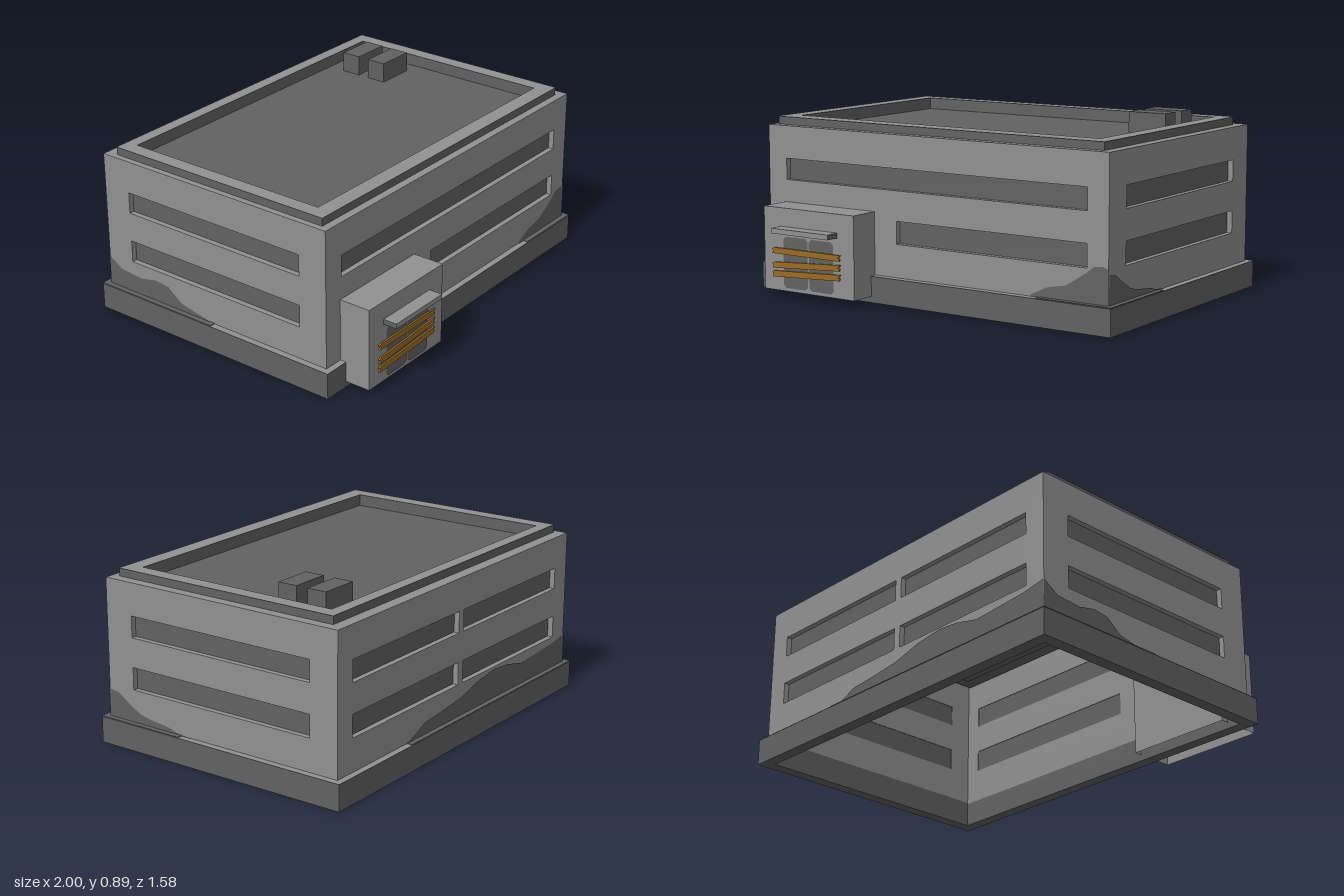
import * as THREE from 'three';

const concrete = new THREE.MeshStandardMaterial({ color: 0x919191, side: THREE.DoubleSide });
concrete.name = 'concrete grey';
const dark = new THREE.MeshStandardMaterial({ color: 0x626262, side: THREE.DoubleSide });
dark.name = 'dark grey';
const wood = new THREE.MeshStandardMaterial({ color: 0x996b22, side: THREE.DoubleSide });
wood.name = 'board brown';

const T = 0.03; // wall thickness
const CZ = -0.1; // centre of the building in z

function add(parent, name, geometry, material, x = 0, y = 0, z = 0) {
  const mesh = new THREE.Mesh(geometry, material);
  mesh.name = name;
  mesh.position.set(x, y, z);
  parent.add(mesh);
  return mesh;
}

// Box given by its limits
function block(parent, name, material, x0, x1, y0, y1, z0, z1) {
  return add(parent, name, new THREE.BoxGeometry(x1 - x0, y1 - y0, z1 - z0), material,
    (x0 + x1) / 2, (y0 + y1) / 2, (z0 + z1) / 2);
}

function rect(target, x0, x1, y0, y1) {
  target.moveTo(x0, y0);
  target.lineTo(x1, y0);
  target.lineTo(x1, y1);
  target.lineTo(x0, y1);
  target.closePath();
  return target;
}

// Horizontal rectangular frame; limits are [x0, x1, z0, z1]
function frameShape(o, i) {
  const shape = rect(new THREE.Shape(), o[0], o[1], -o[3], -o[2]);
  shape.holes.push(rect(new THREE.Path(), i[0], i[1], -i[3], -i[2]));
  return shape;
}

function frame(parent, name, o, i, y0, y1) {
  const shape = frameShape(o, i);
  const side = new THREE.ExtrudeGeometry(shape, { depth: y1 - y0 - 0.002, bevelEnabled: false });
  add(parent, name, side.rotateX(-Math.PI / 2), dark, 0, y0, 0);
  add(parent, name + 'Top', new THREE.ShapeGeometry(shape).rotateX(-Math.PI / 2), concrete, 0, y1, 0);
}

// One storey wall with recessed window strips and a grime patch
function wall(parent, name, half, dist, trim, turn, windows, grime) {
  const group = new THREE.Group();
  group.name = name;
  group.position.z = CZ;
  group.rotation.y = turn;
  parent.add(group);
  const shape = rect(new THREE.Shape(), -half + trim, half - trim, 0.12, 0.81);
  for (const [u0, u1, y0, y1] of windows) {
    shape.holes.push(rect(new THREE.Path(), u0, u1, y0, y1));
    add(group, 'window', new THREE.PlaneGeometry(u1 - u0, y1 - y0), dark,
      (u0 + u1) / 2, (y0 + y1) / 2, dist - T + 0.003);
  }
  add(group, 'wallPanel', new THREE.ExtrudeGeometry(shape, { depth: T, bevelEnabled: false }),
    concrete, 0, 0, dist - T);
  const ends = [grime[grime.length - 1][0], grime[0][0]];
  const points = [...grime, [ends[0], 0.13], [ends[1], 0.13]].map(p => new THREE.Vector2(...p));
  add(group, 'grimePatch', new THREE.ShapeGeometry(new THREE.Shape(points)), dark, 0, 0, dist + 0.004);
}

export function createModel() {
  const model = new THREE.Group();
  model.name = 'building';

  // Plinth with grime on its ledge
  frame(model, 'plinth', [-1, 1, -0.79, 0.59], [-0.94, 0.94, -0.73, 0.53], 0, 0.13);
  block(model, 'ledgeGrime', dark, -1, 0.44, 0.13, 0.133, -0.79, -0.76);
  block(model, 'ledgeGrime', dark, -1, -0.97, 0.13, 0.133, -0.79, -0.1);
  block(model, 'ledgeGrime', dark, 0.61, 1, 0.13, 0.133, 0.56, 0.59);
  block(model, 'ledgeGrime', dark, 0.97, 1, 0.13, 0.133, 0.12, 0.59);

  // Walls
  const up = [0.545, 0.65], low = [0.29, 0.4];
  wall(model, 'frontWall', 0.97, 0.66, 0, 0,
    [[-0.86, 0.86, ...up], [-0.19, 0.86, ...low]],
    [[0.57, 0.14], [0.65, 0.18], [0.75, 0.2], [0.8, 0.23], [0.86, 0.27], [0.9, 0.3], [0.94, 0.305], [0.97, 0.295]]);
  wall(model, 'leftWall', 0.66, 0.97, T, Math.PI / 2,
    [[-0.51, 0.51, ...up], [-0.51, 0.51, ...low]],
    [[-0.66, 0.27], [-0.6, 0.26], [-0.54, 0.22], [-0.47, 0.18], [-0.4, 0.165], [-0.3, 0.155], [-0.25, 0.14], [-0.16, 0.13]]);
  wall(model, 'backWall', 0.97, 0.66, 0, Math.PI,
    [[-0.86, -0.02, ...up], [0.02, 0.86, ...up], [-0.86, -0.02, ...low], [0.02, 0.86, ...low]],
    [[-0.44, 0.13], [-0.3, 0.19], [-0.18, 0.2], [0, 0.22], [0.15, 0.26], [0.3, 0.28], [0.42, 0.27], [0.55, 0.24], [0.7, 0.25], [0.85, 0.26], [0.97, 0.28]]);
  wall(model, 'rightWall', 0.66, 0.97, T, -Math.PI / 2,
    [[-0.51, 0.51, ...up], [-0.51, 0.51, ...low]],
    [[-0.66, 0.28], [-0.58, 0.23], [-0.45, 0.22], [-0.36, 0.24], [-0.28, 0.23], [-0.2, 0.17], [0, 0.13]]);

  // Roof, parapet and roof units
  const inner = [-0.87, 0.85, -0.64, 0.44];
  const ledge = new THREE.ShapeGeometry(frameShape([-0.97, 0.97, -0.76, 0.56], inner));
  add(model, 'roofLedge', ledge.rotateX(-Math.PI / 2), concrete, 0, 0.81, 0);
  frame(model, 'parapet', [-0.94, 0.92, -0.7, 0.52], inner, 0.79, 0.85);
  block(model, 'roofDeck', dark, -0.87, 0.85, 0.78, 0.79, -0.64, 0.44);
  for (const z of [-0.55, -0.39]) block(model, 'roofUnit', dark, 0.57, 0.77, 0.79, 0.89, z, z + 0.1);

  // Entrance porch, open underneath
  const porch = block(model, 'porch', concrete, -0.87, -0.32, 0.03, 0.435, 0.49, 0.72);
  const index = Array.from(porch.geometry.index.array);
  index.splice(18, 6);
  porch.geometry.setIndex(index);
  porch.geometry.clearGroups();
  block(model, 'canopy', [dark, dark, concrete, dark, concrete, concrete],
    -0.765, -0.42, 0.32, 0.345, 0.72, 0.79);

  // Double door with softened corners
  const w = 0.075, h = 0.125, c = 0.015;
  const leaf = new THREE.Shape([[-w + c, -h], [w - c, -h], [w, -h + c], [w, h - c],
    [w - c, h], [-w + c, h], [-w, h - c], [-w, -h + c]].map(p => new THREE.Vector2(...p)));
  for (const x of [-0.673, -0.515])
    add(model, 'doorLeaf', new THREE.ShapeGeometry(leaf), dark, x, 0.172, 0.724);

  // Boards nailed across the door, with splintered ends
  const board = new THREE.Shape([[-0.21, -0.014], [0.2, -0.014], [0.205, -0.004], [0.195, 0.002],
    [0.21, 0.015], [-0.2, 0.015], [-0.212, 0.008], [-0.203, 0]].map(p => new THREE.Vector2(...p)));
  for (const [y, tilt] of [[0.226, 0], [0.167, 0.06], [0.122, 0.05]]) {
    const plank = add(model, 'doorBoard',
      new THREE.ExtrudeGeometry(board, { depth: 0.009, bevelEnabled: false }), wood, -0.6, y, 0.726);
    plank.rotation.z = tilt;
  }
  return model;
}
